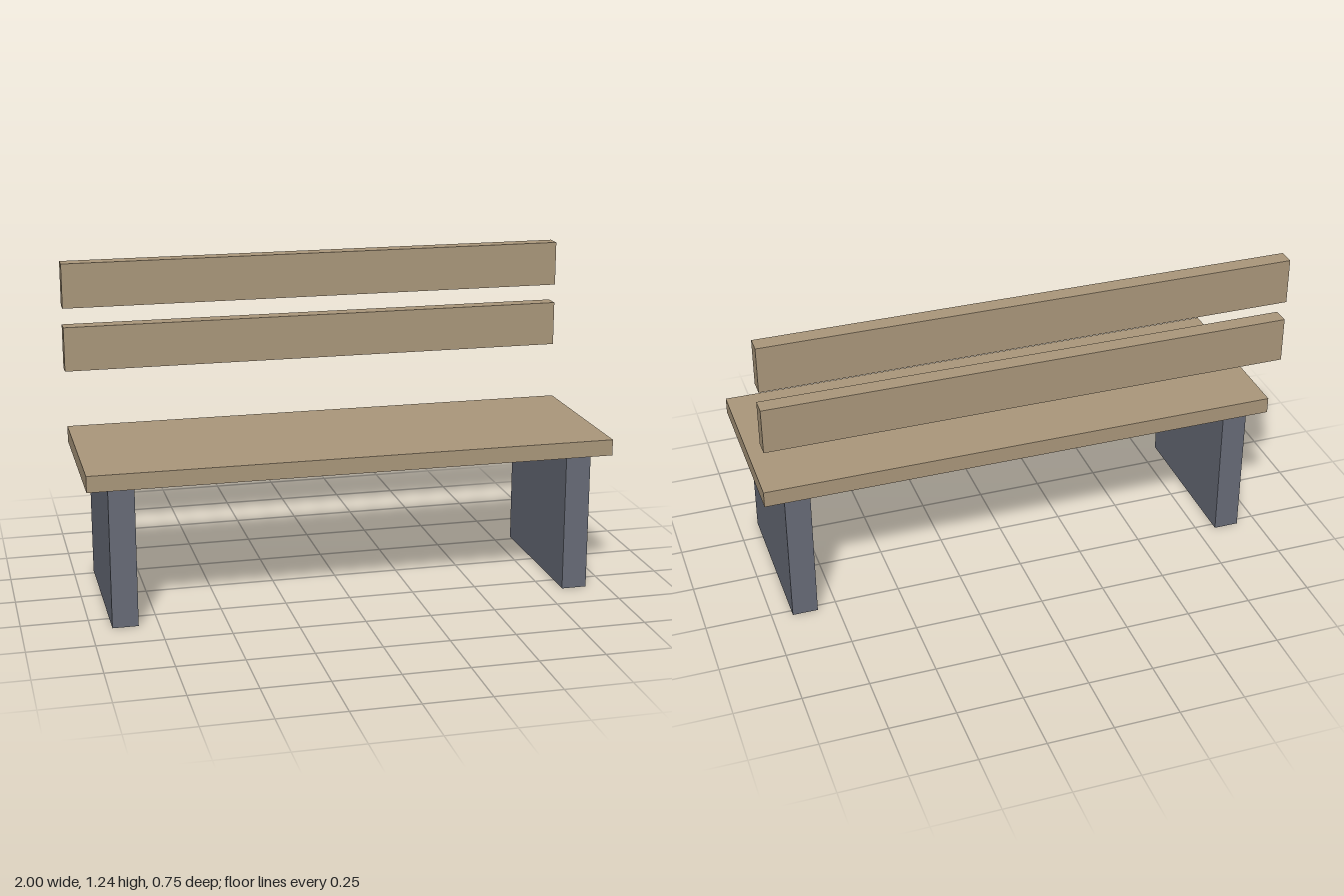
import * as THREE from 'three';

export function createModel() {
  const model = new THREE.Group();
  model.name = 'bench';

  const wood = new THREE.MeshStandardMaterial({ color: 0xab987c });
  wood.name = 'wood';
  const stone = new THREE.MeshStandardMaterial({ color: 0x686c78 });
  stone.name = 'slate grey';

  // Box given by its lower and upper limits on each axis
  function addBox(name, material, [x0, x1], [y0, y1], [z0, z1]) {
    const mesh = new THREE.Mesh(new THREE.BoxGeometry(x1 - x0, y1 - y0, z1 - z0), material);
    mesh.position.set((x0 + x1) / 2, (y0 + y1) / 2, (z0 + z1) / 2);
    mesh.name = name;
    model.add(mesh);
  }

  // Seat plank
  addBox('seat', wood, [-1, 1], [0.535, 0.597], [-0.302, 0.373]);

  // Slab legs
  addBox('leftLeg', stone, [0.825, 0.922], [0, 0.535], [-0.277, 0.348]);
  addBox('rightLeg', stone, [-0.922, -0.825], [0, 0.535], [-0.277, 0.348]);

  // Two floating backrest slats
  addBox('lowerBackSlat', wood, [-1, 1], [0.814, 0.988], [-0.373, -0.31]);
  addBox('upperBackSlat', wood, [-1, 1], [1.063, 1.237], [-0.373, -0.31]);

  return model;
}
